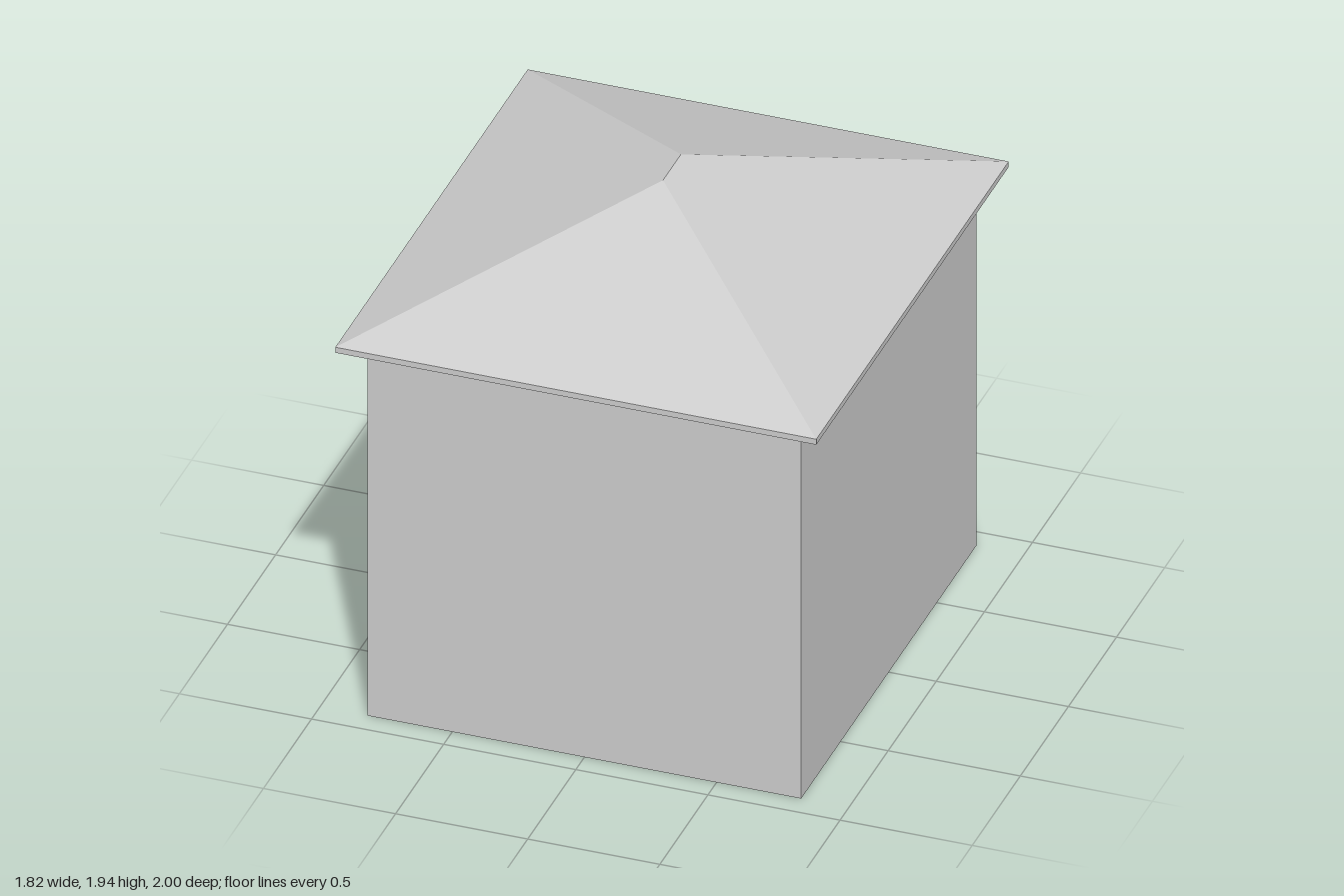
import * as THREE from 'three';

// Rectangular ring of four corners at height y
const ring = (hx, y, hz) => [[hx, y, hz], [hx, y, -hz], [-hx, y, -hz], [-hx, y, hz]];

// Flat-faced surface joining successive rings, wound to face outwards
function loft(rings) {
  const pos = [];
  for (let r = 0; r < rings.length - 1; r++) {
    for (let i = 0; i < 4; i++) {
      const j = (i + 1) % 4;
      const a = rings[r][i], b = rings[r][j], c = rings[r + 1][j], d = rings[r + 1][i];
      pos.push(...a, ...b, ...c, ...a, ...c, ...d);
    }
  }
  const geo = new THREE.BufferGeometry();
  geo.setAttribute('position', new THREE.Float32BufferAttribute(pos, 3));
  geo.computeVertexNormals();
  return geo;
}

export function createModel() {
  const grey = new THREE.MeshStandardMaterial({ color: 0xcccccc, side: THREE.DoubleSide });
  grey.name = 'light grey';
  const model = new THREE.Group();
  model.name = 'hipRoofBuilding';
  const add = (name, geo, y = 0) => {
    const mesh = new THREE.Mesh(geo, grey);
    mesh.name = name;
    mesh.position.y = y;
    model.add(mesh);
  };

  // Four thin walls, open at the floor
  add('walls', loft([ring(0.82, 0, 0.91), ring(0.82, 1.55, 0.91)]));

  // Overhanging soffit
  add('soffit', new THREE.PlaneGeometry(1.82, 2).rotateX(Math.PI / 2), 1.55);

  // Narrow fascia band
  add('fascia', loft([ring(0.91, 1.55, 1), ring(0.91, 1.573, 1)]));

  // Hip roof closing to a short ridge along z
  add('hipRoof', loft([ring(0.91, 1.573, 1), ring(0, 1.937, 0.093)]));

  return model;
}
